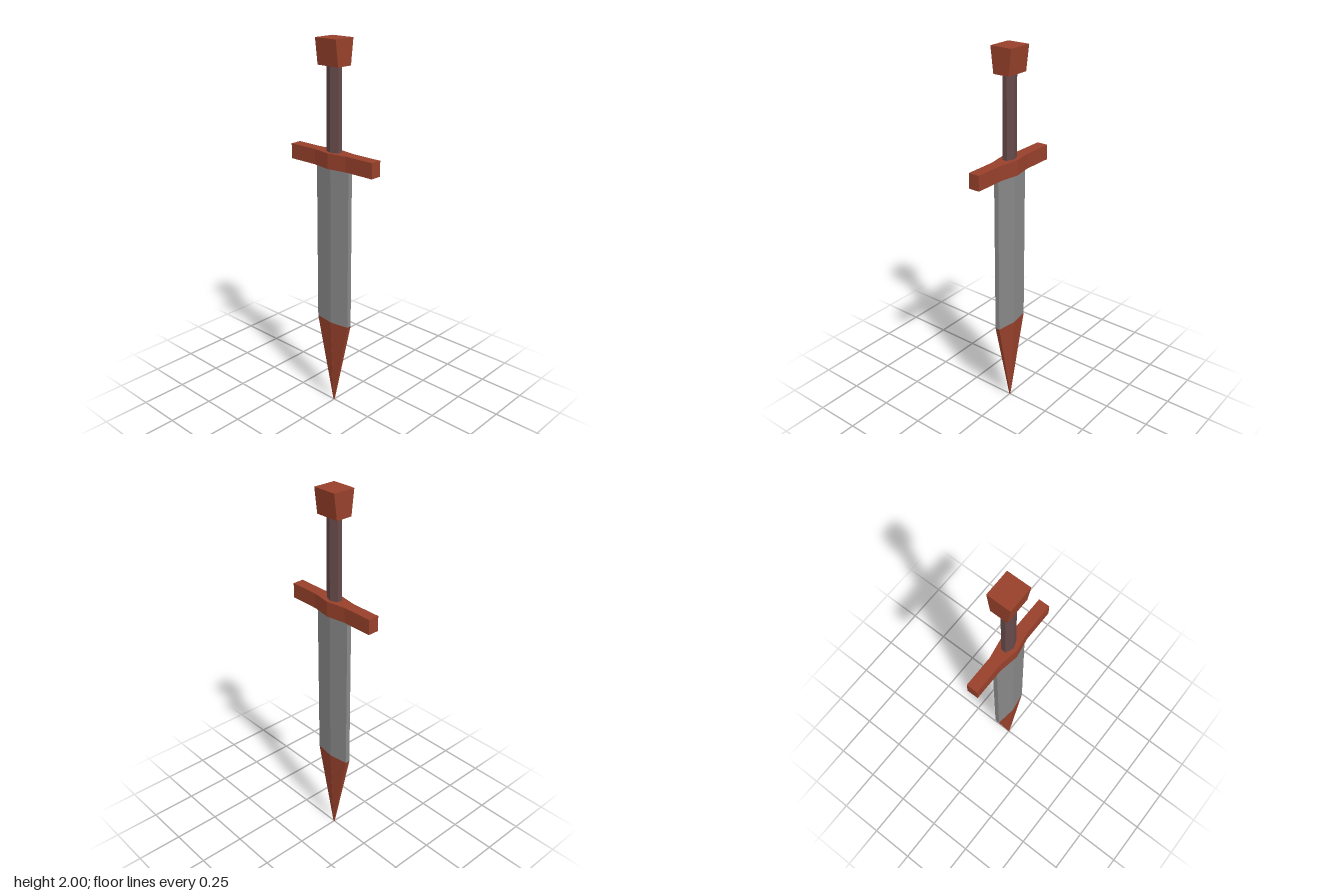
import * as THREE from 'three';

const BROWN = 0x98412b, GRIP = 0x664a4a, STEEL = 0x888888;

// Hexagonal section: ridge half-thickness, edge half-thickness, half-width along z
const hex = (ridge, edge, w) => [[ridge, 0], [edge, w], [-edge, w], [-ridge, 0], [-edge, -w], [edge, -w]];

// Capped, faceted loft between two [x, z] rings
function loft(name, color, y0, ring0, y1, ring1) {
  const pos = [];
  const n = ring0.length;
  const tri = (...pts) => pts.forEach(p => pos.push(...p));
  const lo = ring0.map(([x, z]) => [x, y0, z]);
  const hi = ring1.map(([x, z]) => [x, y1, z]);
  for (let i = 0; i < n; i++) {
    const j = (i + 1) % n;
    tri(lo[i], hi[i], hi[j]);
    tri(lo[i], hi[j], lo[j]);
    tri([0, y0, 0], lo[i], lo[j]);
    tri([0, y1, 0], hi[j], hi[i]);
  }
  const geometry = new THREE.BufferGeometry();
  geometry.setAttribute('position', new THREE.Float32BufferAttribute(pos, 3));
  geometry.computeVertexNormals();
  const mesh = new THREE.Mesh(geometry, new THREE.MeshStandardMaterial({ color, flatShading: true }));
  mesh.name = name;
  return mesh;
}

export function createModel() {
  const group = new THREE.Group();
  group.name = 'sheathedSword';

  const body = hex(0.029, 0.013, 0.108);
  const grip = hex(0.029, 0.013, 0.04);
  // Straight crossbar swelling to a ridge in the middle
  const half = [[0.048, 0], [0.03, 0.105], [0.03, 0.273], [-0.03, 0.273], [-0.03, 0.105]];
  const guard = [...half, ...half.map(([x, z]) => [-x, -z])];
  // Square-cornered pommel, wider at the top
  const box = (x, z) => [[x, z], [-x, z], [-x, -z], [x, -z]];

  group.add(
    loft('scabbardTip', BROWN, 0, hex(0.005, 0.003, 0.001), 0.5, body),
    loft('scabbardBody', STEEL, 0.5, body, 1.365, body),
    loft('crossGuard', BROWN, 1.365, guard, 1.445, guard),
    loft('grip', GRIP, 1.445, grip, 1.87, grip),
    loft('pommel', BROWN, 1.87, box(0.045, 0.067), 2, box(0.061, 0.067))
  );
  return group;
}
